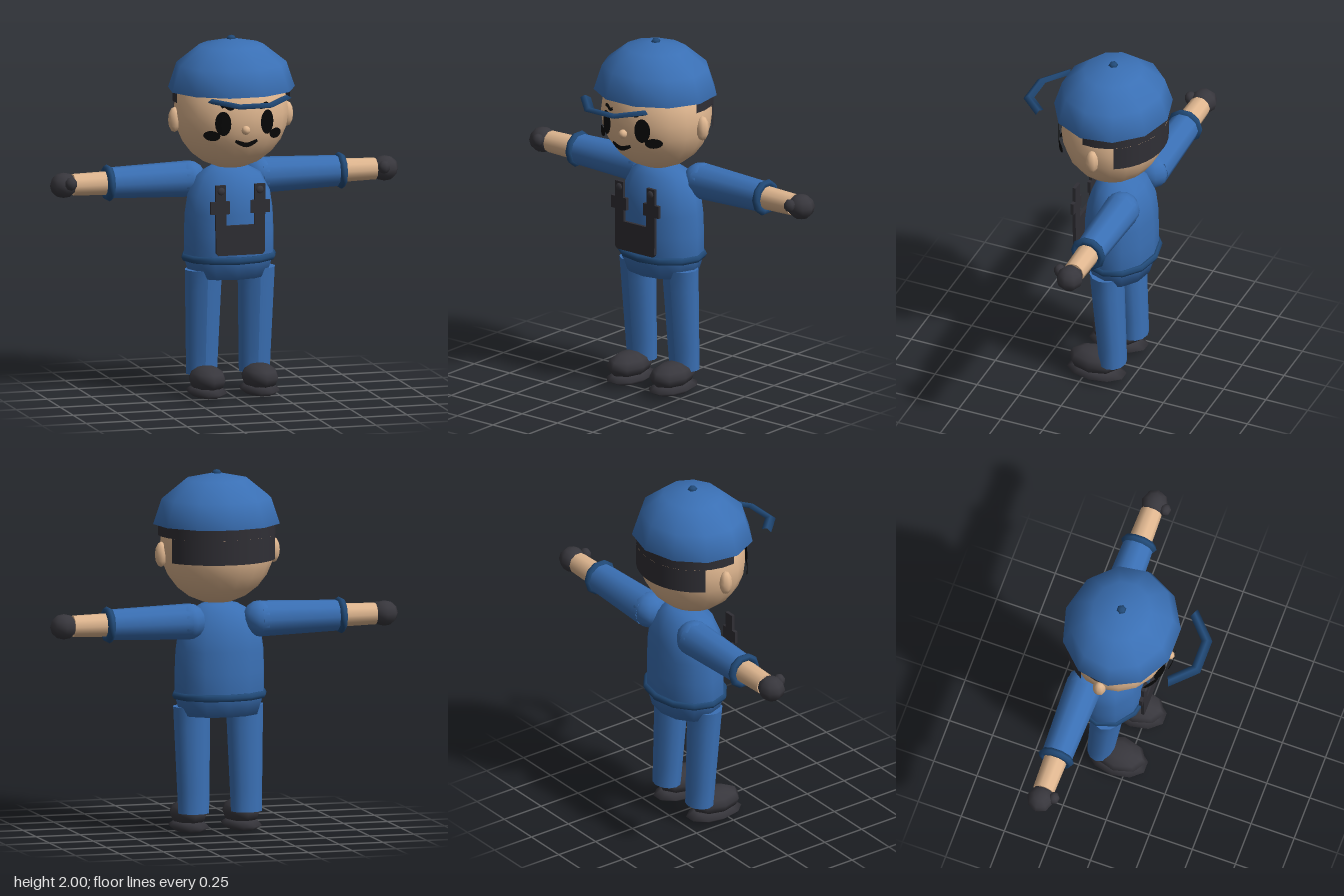
import * as THREE from 'three';

const mat = (name, color, side = THREE.FrontSide) => {
  const m = new THREE.MeshStandardMaterial({ color, side });
  m.name = name;
  return m;
};

export function createModel() {
  const root = new THREE.Group();
  root.name = 'workerFigure';

  const D = THREE.DoubleSide;
  const blue = mat('uniformBlue', 0x3a70b5, D);
  const navy = mat('trimNavy', 0x214a78);
  const skin = mat('skin', 0xe0b790);
  const dark = mat('gloveAndShoeGrey', 0x38373d);
  const charcoal = mat('hairAndBibCharcoal', 0x302f35, D);
  const black = mat('faceBlack', 0x070707, D);

  const add = (name, geo, material, pos = [0, 0, 0], scale = [1, 1, 1], parent = root) => {
    const m = new THREE.Mesh(geo, material);
    m.name = name;
    m.position.set(...pos);
    m.scale.set(...scale);
    parent.add(m);
    return m;
  };
  const ball = (name, material, pos, radii, w = 8, h = 6, parent = root) =>
    add(name, new THREE.SphereGeometry(1, w, h), material, pos, radii, parent);

  // Head, nose and ears
  ball('head', skin, [0, 1.58, -0.1], [0.317, 0.315, 0.285], 18, 12);
  ball('nose', skin, [0, 1.52, 0.19], [0.025, 0.025, 0.025], 8, 6);
  for (const s of [-1, 1]) ball('ear', skin, [s * 0.32, 1.545, -0.105], [0.036, 0.07, 0.037], 8, 6);

  // Hair: a full band at the back and a short one reaching over the ears
  const hairBand = (name, y0, y1, start) => add(name,
    new THREE.CylinderGeometry(1, 1, y1 - y0, 14, 1, true, start, 2 * (Math.PI - start)),
    charcoal, [0, (y0 + y1) / 2, -0.09], [0.325, 1, 0.302]);
  hairBand('backHair', 1.51, 1.645, 2.02);
  hairBand('upperHair', 1.645, 1.72, 1.44);

  // Face marks, wrapped on an upright cylinder just in front of the head
  const wrap = (geo, dx, dy) => {
    geo.translate(dx, dy, 0);
    const p = geo.attributes.position;
    for (let i = 0; i < p.count; i++) p.setZ(i, -0.1 + Math.sqrt(0.305 ** 2 - p.getX(i) ** 2));
    geo.computeVertexNormals();
    return geo;
  };
  const oval = (name, x, y, rx, ry) =>
    add(name, wrap(new THREE.CircleGeometry(1, 16).scale(rx, ry, 1), x, y), black);
  // Flat stroke of varying width along a short path
  const stroke = (name, pts, width) => {
    const curve = new THREE.CatmullRomCurve3(pts.map(([x, y]) => new THREE.Vector3(x, y, 0)));
    const geo = new THREE.PlaneGeometry(1, 1, 10, 1);
    const p = geo.attributes.position;
    for (let i = 0; i < p.count; i++) {
      const t = p.getX(i) + 0.5, c = curve.getPoint(t), d = curve.getTangent(t);
      const w = p.getY(i) * width * (0.6 + 0.4 * Math.sin(Math.PI * t));
      p.setXYZ(i, c.x - d.y * w, c.y + d.x * w, 0);
    }
    add(name, wrap(geo, 0, 0), black);
  };
  for (const s of [-1, 1]) {
    oval('eye', s * 0.125, 1.56, 0.041, 0.068);
    oval('cheek', s * 0.18, 1.49, 0.04, 0.028);
    stroke('eyebrow', [[s * 0.065, 1.655], [s * 0.09, 1.645], [s * 0.115, 1.662], [s * 0.135, 1.652]], 0.024);
  }
  stroke('mouth', [[-0.062, 1.465], [-0.035, 1.452], [0, 1.442], [0.035, 1.452], [0.062, 1.465]], 0.026);

  // Cap: eleven-sided dome, top button and curved peak
  add('capDome', new THREE.SphereGeometry(1, 11, 3, -Math.PI / 2, Math.PI * 2, 0, Math.PI / 2),
    blue, [0, 1.705, -0.093], [0.352, 0.28, 0.322]);
  ball('capButton', navy, [0, 1.98, -0.093], [0.027, 0.02, 0.027], 6, 4);
  const arc = 2.3;
  const peakGeo = new THREE.TorusGeometry(0.232, 0.03, 4, 3, arc)
    .rotateZ((Math.PI - arc) / 2).rotateX(Math.PI / 2).scale(1, 0.5, 1);
  add('capPeak', peakGeo, navy, [0, 1.715, 0.158]).rotation.x = 0.13;

  // Torso with squared-off pelvis
  const profile = [[0, 0.66], [0.22, 0.66], [0.255, 0.77], [0.255, 0.9], [0.25, 1.02],
    [0.235, 1.12], [0.18, 1.225], [0.1, 1.27], [0, 1.28]].map(([r, y]) => new THREE.Vector2(r, y));
  add('torso', new THREE.LatheGeometry(profile, 12), blue, [0, 0, -0.143], [1, 1, 0.75]);
  add('belt', new THREE.TorusGeometry(0.247, 0.022, 6, 12).rotateX(Math.PI / 2), navy,
    [0, 0.77, -0.143], [1, 1, 0.79]);

  // Bib plate with straps, side tabs and buttons
  const bib = new THREE.Shape([[-0.125, 0.81], [0.125, 0.81], [0.138, 0.825], [0.14, 1.04], [0.168, 1.04],
    [0.168, 1.11], [0.14, 1.11], [0.14, 1.2], [0.082, 1.2], [0.082, 1.11], [0.06, 1.11], [0.06, 1.04],
    [0.08, 1.04], [0.08, 0.975], [-0.08, 0.975], [-0.08, 1.04], [-0.06, 1.04], [-0.06, 1.11], [-0.082, 1.11],
    [-0.082, 1.2], [-0.14, 1.2], [-0.14, 1.11], [-0.168, 1.11], [-0.168, 1.04], [-0.14, 1.04],
    [-0.138, 0.825]].map(([x, y]) => new THREE.Vector2(x, y)));
  add('bib', new THREE.ExtrudeGeometry(bib, { depth: 0.018, bevelEnabled: false }), charcoal, [0, 0, 0.07]);

  for (const s of [-1, 1]) {
    ball('bibButton', dark, [s * 0.11, 1.168, 0.088], [0.022, 0.022, 0.01], 8, 4);

    // Arm, stretched out sideways
    const arm = new THREE.Group();
    arm.name = s > 0 ? 'leftArm' : 'rightArm';
    arm.position.set(0, 1.188, -0.232);
    root.add(arm);
    const limb = (name, material, x0, x1, r0, r1) => add(name,
      new THREE.CylinderGeometry(r1, r0, x1 - x0, 10).rotateZ(-s * Math.PI / 2),
      material, [s * (x0 + x1) / 2, 0, 0], [1, 1, 1], arm);
    ball('shoulder', blue, [s * 0.205, 0, 0], [0.1, 0.1, 0.1], 10, 8, arm);
    limb('sleeve', blue, 0.2, 0.66, 0.1, 0.085);
    limb('forearm', skin, 0.62, 0.86, 0.066, 0.06);
    add('cuff', new THREE.TorusGeometry(0.08, 0.022, 6, 10).rotateY(Math.PI / 2), navy,
      [s * 0.66, 0, 0], [1, 1, 1], arm);
    ball('glove', dark, [s * 0.912, 0, 0], [0.078, 0.07, 0.074], 8, 6, arm);
    ball('thumb', dark, [s * 0.89, 0.018, 0.07], [0.035, 0.037, 0.032], 7, 5, arm);

    // Leg: tapered and leaning slightly back toward the ankle
    const legGeo = new THREE.CylinderGeometry(1, 1, 1, 12, 5);
    const p = legGeo.attributes.position;
    for (let i = 0; i < p.count; i++) {
      const t = 0.5 - p.getY(i);
      p.setXYZ(i, p.getX(i) * (0.106 - 0.018 * t), 0.705 - 0.585 * t,
        p.getZ(i) * (0.092 - 0.018 * t) - 0.12 - 0.037 * t);
    }
    legGeo.computeVertexNormals();
    add('leg', legGeo, blue, [s * 0.15, 0, 0]);

    // Shoe upper and flattened sole
    ball('shoeUpper', dark, [s * 0.15, 0.107, -0.05], [0.102, 0.073, 0.152], 8, 6);
    ball('shoeSole', dark, [s * 0.15, 0.038, -0.06], [0.107, 0.035, 0.172], 10, 4);
  }
  return root;
}
